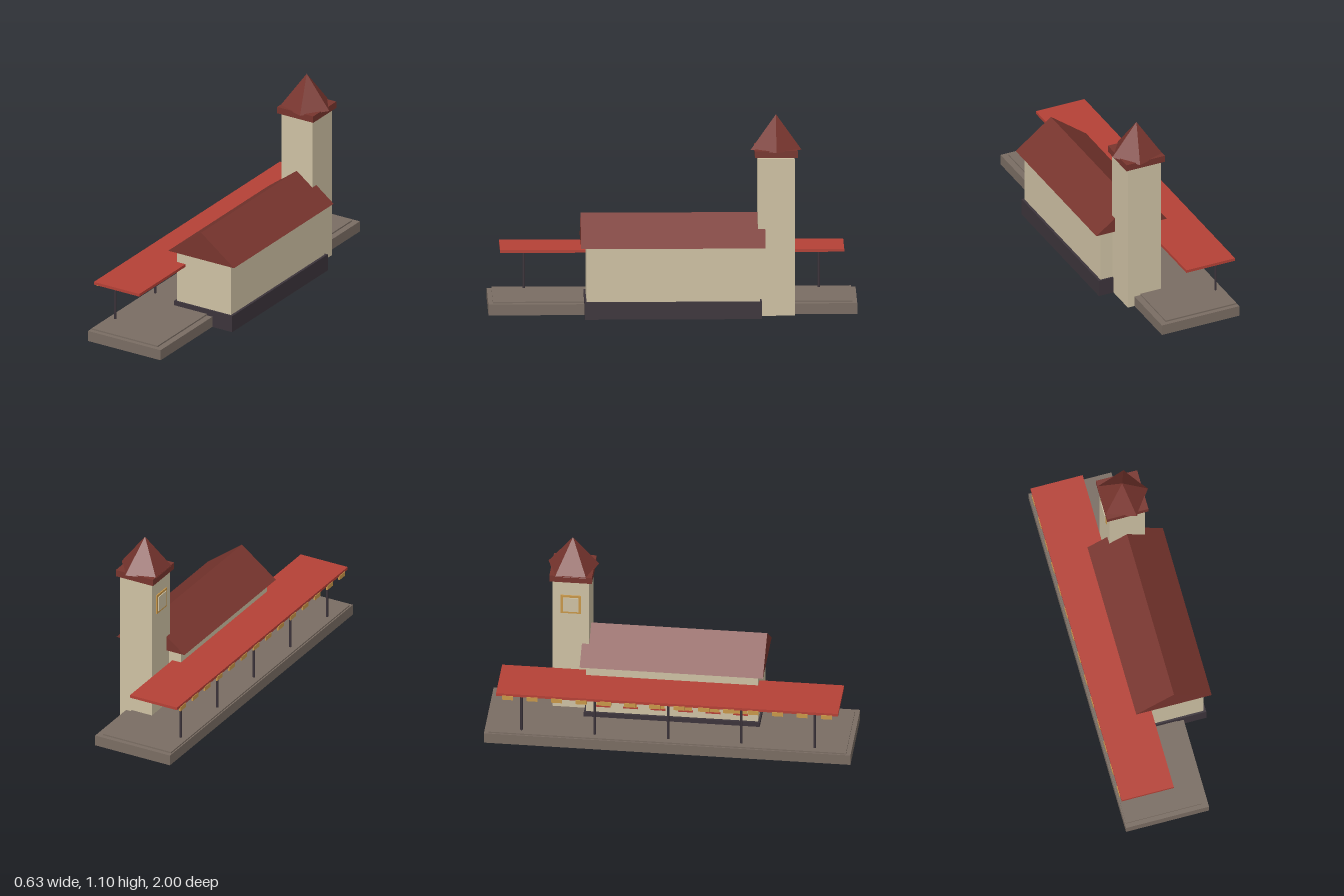
import * as THREE from 'three';

const mat = (name, color) => {
  const m = new THREE.MeshStandardMaterial({ color });
  m.name = name;
  return m;
};

export function createModel() {
  const root = new THREE.Group();
  root.name = 'railwayStation';
  const wall = mat('cream plaster', 0xcfc2a4);
  const dark = mat('dark plinth', 0x3c343b);
  const stone = mat('platform stone', 0x7a6d63);
  const tile = mat('roof tile', 0x78352e);
  const red = mat('canopy red', 0xb54136);
  const ochre = mat('ochre trim', 0xc9984a);

  const add = (name, geo, m, parent = root) => {
    const mesh = new THREE.Mesh(geo, m);
    mesh.name = name;
    parent.add(mesh);
    return mesh;
  };
  // box given by its extents along x, y and z
  const box = (name, m, [x0, x1], [y0, y1], [z0, z1], parent) => {
    const b = add(name, new THREE.BoxGeometry(x1 - x0, y1 - y0, z1 - z0), m, parent);
    b.position.set((x0 + x1) / 2, (y0 + y1) / 2, (z0 + z1) / 2);
    return b;
  };

  // platform with a slightly raised paving slab
  box('platform', stone, [-0.307, 0.16], [0.001, 0.061], [-1, 1]);
  box('platformPaving', stone, [-0.3, 0.125], [0.061, 0.069], [-0.975, 0.975]);

  // main building
  box('plinth', dark, [-0.087, 0.287], [0, 0.095], [-0.48, 0.48]);
  box('walls', wall, [-0.073, 0.273], [0.095, 0.397], [-0.47, 0.47]);

  // gabled roof
  const gable = new THREE.Shape([
    new THREE.Vector2(-0.112, 0.395), new THREE.Vector2(0.312, 0.395), new THREE.Vector2(0.1, 0.555),
  ]);
  add('gableRoof', new THREE.ExtrudeGeometry(gable, { depth: 1, bevelEnabled: false }), tile).position.z = -0.5;

  // windows along the platform side, with sills
  const windows = new THREE.Group();
  windows.name = 'platformWindows';
  root.add(windows);
  for (let i = 0; i < 6; i++) {
    const z = -0.375 + i * 0.15;
    box('window', ochre, [-0.08, -0.073], [0.14, 0.273], [z - 0.035, z + 0.035], windows);
    box('windowSill', red, [-0.084, -0.073], [0.133, 0.141], [z - 0.04, z + 0.04], windows);
  }

  // tower with cap and five-sided spire
  const tower = new THREE.Group();
  tower.name = 'tower';
  root.add(tower);
  box('towerShaft', wall, [0, 0.2], [0.001, 0.867], [-0.66, -0.46], tower);
  box('towerCap', tile, [-0.016, 0.216], [0.875, 0.913], [-0.676, -0.444], tower);
  const cone = new THREE.ConeGeometry(0.145, 0.187, 5, 1, false, Math.PI / 2).toNonIndexed();
  cone.computeVertexNormals();
  add('spire', cone, tile, tower).position.set(0.1, 1.0015, -0.56);
  box('towerWindowFrame', ochre, [-0.006, 0], [0.672, 0.785], [-0.616, -0.504], tower);
  box('towerWindowPane', wall, [-0.011, -0.006], [0.685, 0.772], [-0.603, -0.517], tower);

  // canopy with posts and fringe blocks
  const canopy = new THREE.Group();
  canopy.name = 'canopy';
  root.add(canopy);
  box('canopyRoof', red, [-0.313, -0.02], [0.31, 0.326], [-0.933, 0.933], canopy);
  for (let i = 0; i < 5; i++) {
    add('canopyPost', new THREE.CylinderGeometry(0.007, 0.007, 0.243, 8), dark, canopy)
      .position.set(-0.26, 0.1895, -0.8 + i * 0.4);
  }
  for (let i = 0; i < 14; i++) {
    const z = -0.87 + i * (1.74 / 13);
    box('fringeBlock', ochre, [-0.316, -0.307], [0.289, 0.314], [z - 0.03, z + 0.03], canopy);
  }
  return root;
}
